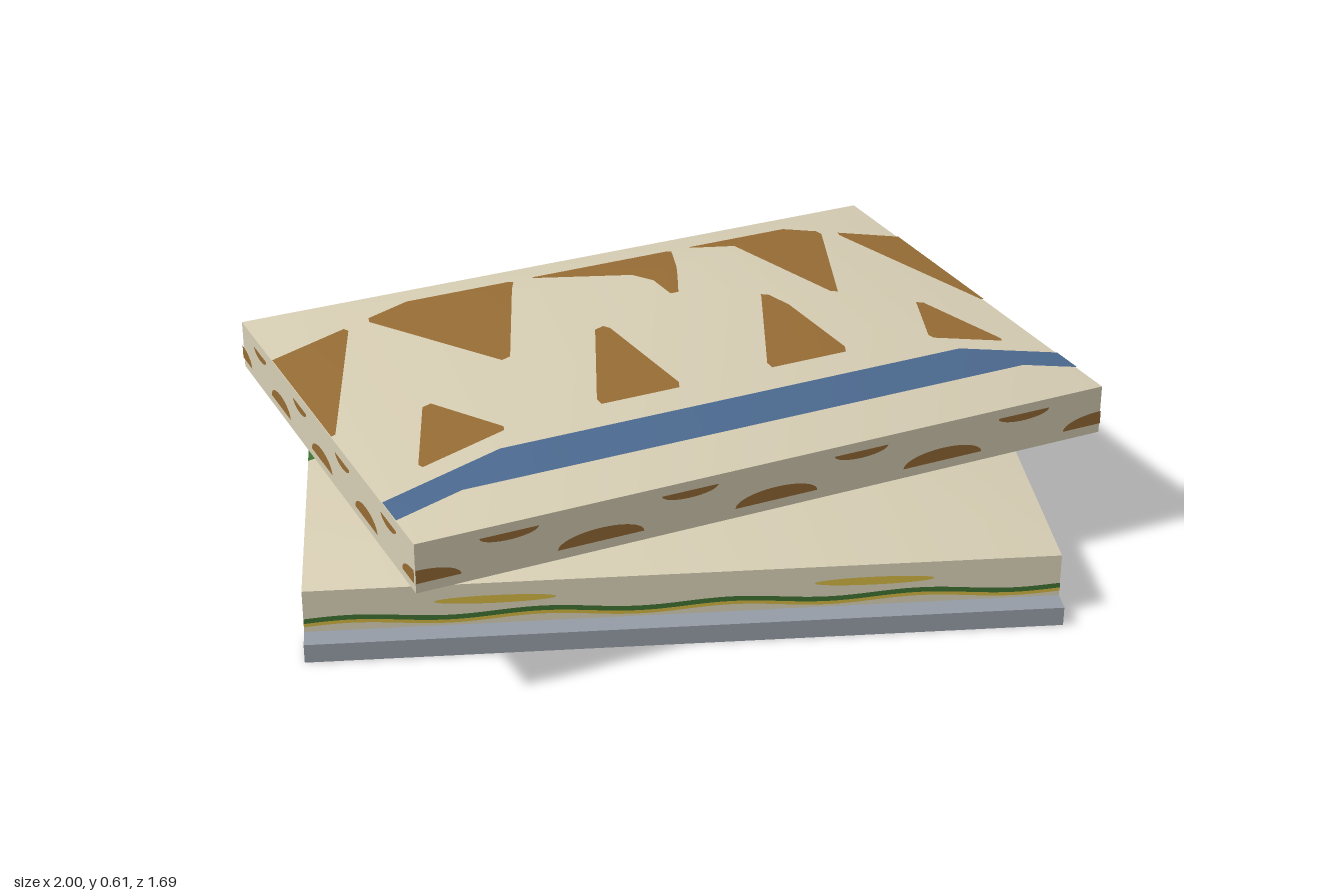
import * as THREE from 'three';

const A = 0.845, B = 0.59;        // half length and half width of a slab
const RIM = 0.118, PEAK = 0.21;   // rim height and pyramid height above it

const mat = (name, color) => {
  const m = new THREE.MeshStandardMaterial({ color });
  m.name = name;
  return m;
};

// Keep the part of a convex polygon where f(point) >= 0 (f is linear)
function clip(poly, f) {
  const out = [];
  poly.forEach((p, i) => {
    const q = poly[(i + 1) % poly.length], fp = f(p), fq = f(q);
    if (fp >= 0) out.push(p);
    if (fp * fq < 0) {
      const t = fp / (fp - fq);
      out.push([p[0] + (q[0] - p[0]) * t, p[1] + (q[1] - p[1]) * t]);
    }
  });
  return out;
}

function orient(poly) {
  let area = 0;
  poly.forEach((p, i) => {
    const q = poly[(i + 1) % poly.length];
    area += p[0] * q[1] - q[0] * p[1];
  });
  return area < 0 ? poly.slice().reverse() : poly;
}

// Fan-triangulate convex polygons; place() maps 2D to 3D, normal() gives the shading normal
function surface(polys, place, normal, flip) {
  const pos = [], nor = [];
  for (const raw of polys) {
    if (raw.length < 3) continue;
    const p = orient(raw);
    for (let i = 1; i < p.length - 1; i++) {
      for (const v of flip ? [p[0], p[i + 1], p[i]] : [p[0], p[i], p[i + 1]]) {
        pos.push(...place(v));
        nor.push(...normal(v));
      }
    }
  }
  const g = new THREE.BufferGeometry();
  g.setAttribute('position', new THREE.Float32BufferAttribute(pos, 3));
  g.setAttribute('normal', new THREE.Float32BufferAttribute(nor, 3));
  return g;
}

const rect = (x0, x1, y0, y1) => [[x0, y0], [x1, y0], [x1, y1], [x0, y1]];

function ellipse(cx, cy, rx, ry, from = 0, to = Math.PI * 2, n = 24) {
  return Array.from({ length: n + 1 }, (_, i) => {
    const t = from + (to - from) * i / n;
    return [cx + rx * Math.cos(t), cy + ry * Math.sin(t)];
  });
}

// Wavy band as a row of quads
function wave(half, centre, halfWidth, n = 96) {
  return Array.from({ length: n }, (_, i) => {
    const x0 = -half + 2 * half * i / n, x1 = -half + 2 * half * (i + 1) / n;
    const c0 = centre(x0), c1 = centre(x1);
    return [[x0, c0 - halfWidth], [x1, c1 - halfWidth], [x1, c1 + halfWidth], [x0, c0 + halfWidth]];
  });
}

function add(group, name, geometry, material) {
  const m = new THREE.Mesh(geometry, material);
  m.name = name;
  group.add(m);
  return m;
}

// Lay polygons (x, z) over the low pyramid, cut along its hips
function onTop(group, name, polys, material, lift) {
  const d1 = p => p[0] / A - p[1] / B, d2 = p => p[0] / A + p[1] / B;
  const pieces = [];
  for (const poly of polys) {
    for (const s of [1, -1]) {
      for (const t of [1, -1]) {
        pieces.push(clip(clip(poly, p => s * d1(p)), p => t * d2(p)));
      }
    }
  }
  const height = p => RIM + lift + PEAK * (1 - Math.max(Math.abs(p[0]) / A, Math.abs(p[1]) / B));
  const normal = p => new THREE.Vector3(
    PEAK * p[0] / (2 * A * A), 1, PEAK * p[1] / (2 * B * B)).normalize().toArray();
  add(group, name, surface(pieces, p => [p[0], height(p), p[1]], normal, true), material);
}

// Same pattern on the flat underside
function onBottom(group, name, polys, material, lift) {
  add(group, name, surface(polys, p => [p[0], -lift, p[1]], () => [0, -1, 0], false), material);
}

function paint(group, name, polys, material, lift) {
  const inside = polys.map(p =>
    clip(clip(clip(clip(p, v => A - v[0]), v => A + v[0]), v => B - v[1]), v => B + v[1]));
  onTop(group, name + 'Top', inside, material, lift);
  onBottom(group, name + 'Underside', inside, material, lift);
}

// Repeat a rim pattern on the four sides; pattern(half) returns polygons (along, up)
function onRim(group, name, pattern, material, lift) {
  for (let k = 0; k < 4; k++) {
    const [half, dist] = k % 2 ? [B, A] : [A, B];
    const polys = pattern(half).map(p => clip(clip(p, v => half - v[0]), v => half + v[0]));
    const g = surface(polys, p => [p[0], p[1], dist + lift], () => [0, 0, 1], false);
    add(group, name, g, material).rotation.y = k * Math.PI / 2;
  }
}

function slab(name, y, material) {
  const g = new THREE.Group();
  g.name = name;
  g.position.y = y;
  const rim = add(g, 'rim', new THREE.BoxGeometry(2 * A, RIM, 2 * B), material);
  rim.position.y = RIM / 2;
  onTop(g, 'pyramidTop', [rect(-A, A, -B, B)], material, 0);
  return g;
}

export function createModel() {
  const cream = mat('cream', 0xd6cdb3);
  const brown = mat('brown', 0x966c35);
  const blue = mat('blue', 0x4b698f);
  const green = mat('green', 0x3d7030);
  const yellow = mat('yellow', 0xcdb23f);
  const grey = mat('grey', 0x949ba5);

  const model = new THREE.Group();
  model.name = 'stackedSlabs';

  // Rails under the long edges
  for (const s of [1, -1]) {
    const rail = add(model, 'rail', new THREE.BoxGeometry(2 * A, 0.045, 0.1), grey);
    rail.position.set(0, 0.0225, s * 0.595);
  }

  // Lower slab: wavy bands and ovals
  const lower = slab('lowerSlab', 0.03, cream);
  const sway = off => x => off + 0.065 * Math.cos(2 * Math.PI * 4 * (A - x) / (2 * A));
  paint(lower, 'yellowWave', wave(A, sway(-0.255), 0.065), yellow, 0.002);
  paint(lower, 'greenWave', wave(A, sway(-0.135), 0.065), green, 0.004);
  paint(lower, 'ovals', [-0.41, 0.41].map(x => ellipse(x, 0.25, 0.15, 0.11)), yellow, 0.003);
  const ripple = (half, off) => x => off + 0.006 * Math.sin(4 * Math.PI * (x + half) / half);
  onRim(lower, 'rimYellowLine', h => wave(h, ripple(h, 0.034), 0.006), yellow, 0.002);
  onRim(lower, 'rimGreenLine', h => wave(h, ripple(h, 0.043), 0.006), green, 0.003);
  onRim(lower, 'rimOvals', h => [-h / 2, h / 2].map(x => ellipse(x, 0.078, h * 0.16, 0.01)), yellow, 0.003);
  model.add(lower);

  // Upper slab: turned, with triangles and a stripe
  const upper = slab('upperSlab', 0.283, cream);
  upper.rotation.y = THREE.MathUtils.degToRad(20);
  const step = A / 2;
  const big = [-2, -1, 0, 1, 2].map(i =>
    [[i * step - 0.18, -0.353], [i * step + 0.18, -0.353], [i * step + 0.185, -0.335],
      [i * step + 0.01, 0.07], [i * step - 0.01, 0.07], [i * step - 0.185, -0.335]]);
  const small = [-1.5, -0.5, 0.5, 1.5].map(i =>
    [[i * step - 0.095, 0.34], [i * step + 0.095, 0.34], [i * step + 0.1, 0.325],
      [i * step + 0.01, 0.115], [i * step - 0.01, 0.115], [i * step - 0.1, 0.325]]);
  paint(upper, 'triangles', [...big, ...small], brown, 0.003);
  paint(upper, 'stripe', [rect(-A, A, 0.4, 0.485)], blue, 0.003);
  onRim(upper, 'rimArches', h => [-1, -0.5, 0, 0.5, 1].map(i =>
    ellipse(i * h, 0.024, h * 0.12, 0.032, 0, Math.PI)), brown, 0.003);
  onRim(upper, 'rimDots', h => [-0.75, -0.25, 0.25, 0.75].map(i =>
    ellipse(i * h, 0.097, h * 0.08, 0.018, Math.PI, 2 * Math.PI)), brown, 0.003);
  model.add(upper);

  return model;
}
